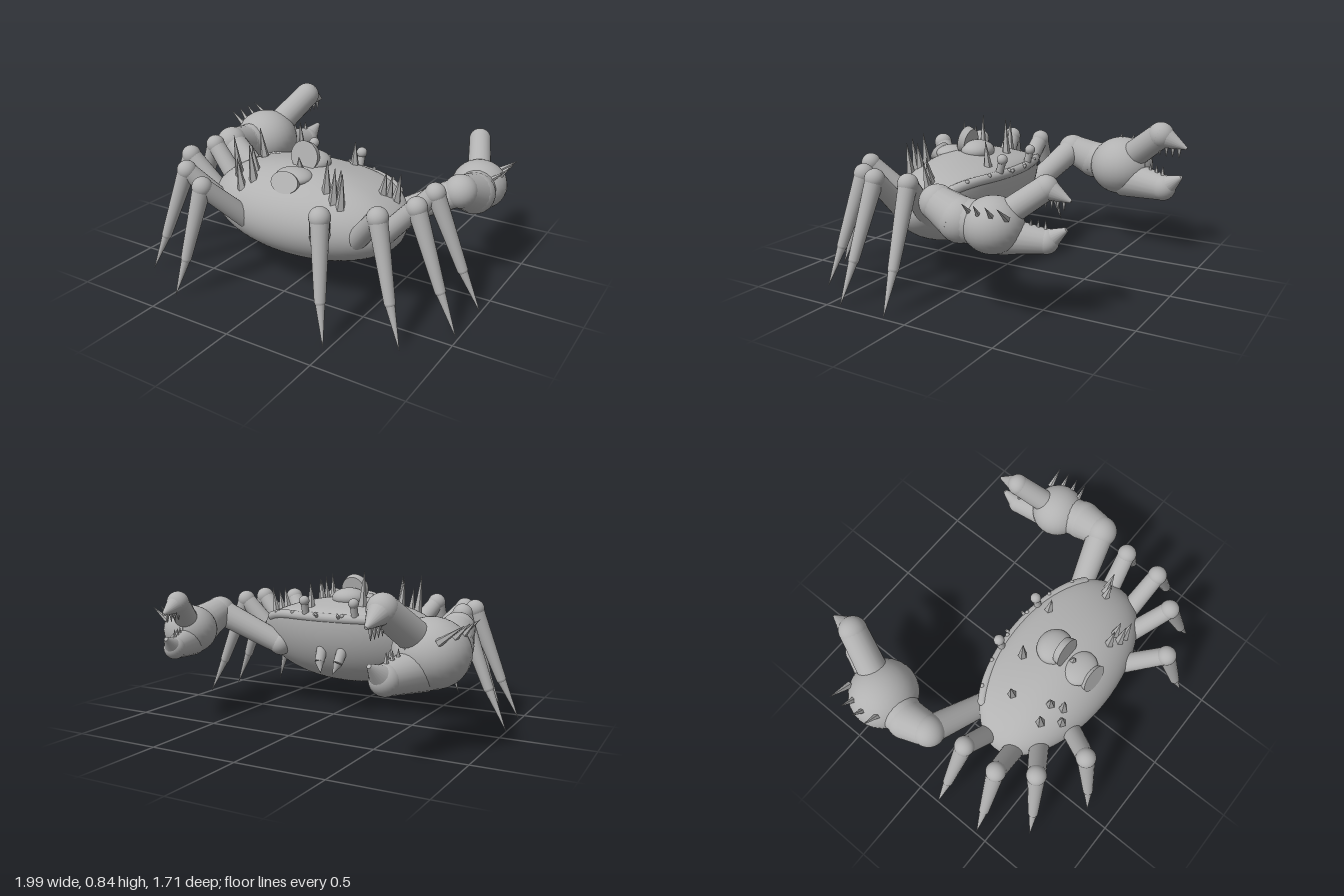
import * as THREE from 'three';
import { mergeVertices } from 'three/addons/utils/BufferGeometryUtils.js';

const shell = new THREE.MeshStandardMaterial({ color: 0xb2b2b2 });
shell.name = 'shellGrey';
const V = (x, y, z) => new THREE.Vector3(x, y, z);
const UP = V(0, 1, 0);

function add(parent, name, geometry) {
  const mesh = new THREE.Mesh(geometry, shell);
  mesh.name = name;
  parent.add(mesh);
  return mesh;
}

// Tapered segment from a to b
function bone(parent, name, a, b, ra, rb, sides = 20) {
  let g = new THREE.CylinderGeometry(rb, ra, a.distanceTo(b), sides);
  if (sides < 8) {
    g = g.toNonIndexed();
    g.computeVertexNormals();
  }
  const mesh = add(parent, name, g);
  mesh.position.copy(a).lerp(b, 0.5);
  mesh.quaternion.setFromUnitVectors(UP, b.clone().sub(a).normalize());
  return mesh;
}

function ball(parent, name, p, rx, ry = rx, rz = rx) {
  const mesh = add(parent, name, new THREE.SphereGeometry(1, 28, 18));
  mesh.position.copy(p);
  mesh.scale.set(rx, ry, rz);
  return mesh;
}

const spike = (parent, name, a, b, r) => bone(parent, name, a, b, r, 0.001, 5);

const group = (parent, name) => {
  const g = new THREE.Group();
  g.name = name;
  parent.add(g);
  return g;
};

// Height of the widest line: it rises towards the claw end
const equator = (dz) => 0.43 + 0.15 * THREE.MathUtils.smoothstep(-dz, -0.1, 0.9);
const topY = (x, z) => {
  const dx = x / 0.6, dz = (z - 0.255) / 0.325, e = equator(dz);
  return e + (0.69 - e) * Math.sqrt(Math.max(0, 1 - dx * dx - dz * dz));
};

function buildBody(root) {
  let g = new THREE.SphereGeometry(1, 64, 40);
  g.deleteAttribute('uv');
  g.deleteAttribute('normal');
  g = mergeVertices(g);
  const p = g.attributes.position;
  for (let i = 0; i < p.count; i++) {
    const x = p.getX(i), y = p.getY(i), z = p.getZ(i), e = equator(z);
    p.setXYZ(i, x * 0.6, e + y * (y > 0 ? 0.69 - e : e - 0.18), 0.255 + z * 0.325);
  }
  g.computeVertexNormals();
  add(root, 'body', g);

  // Raised lip along the claw end, with small knobs
  const pts = [];
  for (let i = 0; i <= 24; i++) {
    const a = THREE.MathUtils.lerp(-0.9, 0.9, i / 24);
    const dz = -Math.cos(a);
    pts.push(V(0.585 * Math.sin(a), equator(dz) + 0.015, 0.255 + 0.305 * dz));
  }
  add(root, 'rim', new THREE.TubeGeometry(new THREE.CatmullRomCurve3(pts), 60, 0.028, 12));
  ball(root, 'rimEnd', pts[0], 0.028);
  ball(root, 'rimEnd', pts[24], 0.028);
  for (let i = 2; i < 24; i += 4) ball(root, 'rimKnob', pts[i].clone().add(V(0, 0.02, -0.015)), 0.012);
}

function buildBackDetails(root) {
  // Two humps, each with a flared disc
  ball(root, 'hump', V(0, 0.69, 0.2), 0.105, 0.06, 0.095);
  bone(root, 'humpDisc', V(0, 0.735, 0.245), V(0, 0.742, 0.285), 0.075, 0.085, 28);
  ball(root, 'hump', V(0, 0.66, 0.38), 0.105, 0.045, 0.09);
  bone(root, 'humpDisc', V(0, 0.635, 0.43), V(0, 0.655, 0.475), 0.07, 0.085, 28).scale.z = 0.7;

  // Spikes: x, z, length
  const spikes = [
    [-0.34, 0.18, 0.17], [-0.36, 0.39, 0.22], [-0.255, 0.375, 0.14], [-0.225, 0.44, 0.19],
    [-0.28, 0.475, 0.16], [0.22, 0.41, 0.17], [0.28, 0.44, 0.18], [0.325, 0.445, 0.18],
    [0.29, 0.4, 0.14], [0.445, 0.22, 0.12], [0.51, 0.19, 0.15], [0.47, 0.2, 0.11],
    [-0.14, 0.09, 0.2], [0.165, 0.03, 0.14], [0, 0.325, 0.07]
  ];
  for (const [x, z, h] of spikes) {
    const y = topY(x, z);
    spike(root, 'backSpike', V(x, y - 0.02, z), V(x * 1.06, y + h, z + 0.01), 0.028);
  }
}

function buildLegs(root, s) {
  // Each leg: hip, knee, tip
  const legs = [
    [[0.48, 0.38, 0.2], [0.72, 0.645, 0.165], [0.995, 0.02, 0.135]],
    [[0.48, 0.38, 0.34], [0.72, 0.645, 0.38], [0.985, 0.02, 0.425]],
    [[0.37, 0.36, 0.4], [0.6, 0.63, 0.555], [0.8, 0.02, 0.675]],
    [[0.21, 0.36, 0.46], [0.365, 0.63, 0.7], [0.475, 0.02, 0.85]]
  ];
  for (const parts of legs) {
    const [hip, knee, tip] = parts.map(([x, y, z]) => V(s * x, y, z));
    const leg = group(root, s > 0 ? 'leftLeg' : 'rightLeg');
    const ankle = knee.clone().lerp(tip, 0.64).add(V(-s * 0.01, 0, 0));
    ball(leg, 'hip', hip, 0.058);
    bone(leg, 'thigh', hip, knee, 0.058, 0.05);
    ball(leg, 'knee', knee, 0.055);
    bone(leg, 'shin', knee, ankle, 0.05, 0.029);
    ball(leg, 'ankle', ankle, 0.029);
    bone(leg, 'foot', ankle, tip, 0.026, 0.001, 12);
  }
}

function buildClaw(root, s, size, palm) {
  const claw = group(root, s > 0 ? 'leftClaw' : 'rightClaw');
  // Point relative to the palm, measured outwards from the body
  const P = (x, y, z) => V(palm.x + s * x * size, palm.y + y * size, palm.z + z * size);
  const shoulder = V(s * 0.4, 0.4, 0.06);
  const elbow = V(s * 0.77, 0.59, -0.05);
  const wrist = V(s * 0.79, 0.53, -0.2);
  ball(claw, 'shoulder', shoulder, 0.07);
  bone(claw, 'upperArm', shoulder, elbow, 0.065, 0.08);
  ball(claw, 'elbow', elbow, 0.092);
  bone(claw, 'forearm', elbow, wrist, 0.09, 0.115);
  ball(claw, 'wrist', wrist, 0.115);
  bone(claw, 'palmNeck', wrist, palm, 0.11, 0.14 * size);
  ball(claw, 'palm', palm, 0.2 * size, 0.18 * size, 0.195 * size);

  // Hinged finger with a hooked end
  const base = P(-0.03, 0.06, -0.06), bend = P(-0.13, 0.24, -0.29), tip = P(-0.135, 0.175, -0.455);
  bone(claw, 'upperFinger', base, bend, 0.085 * size, 0.078 * size);
  ball(claw, 'upperKnuckle', bend, 0.079 * size);
  bone(claw, 'upperHook', bend, tip, 0.079 * size, 0.008);

  // Fixed lower finger
  const lowBase = P(-0.03, -0.07, -0.04), lowBend = P(-0.105, -0.085, -0.31), lowTip = P(-0.13, 0, -0.43);
  bone(claw, 'lowerFinger', lowBase, lowBend, 0.12 * size, 0.078 * size);
  ball(claw, 'lowerKnuckle', lowBend, 0.079 * size);
  bone(claw, 'lowerHook', lowBend, lowTip, 0.078 * size, 0.012);

  // Teeth on both fingers
  for (let i = 0; i < 4; i++) {
    const t = 0.5 + i * 0.16;
    const low = lowBase.clone().lerp(lowBend, t).add(V(0, 0.07 * size, 0));
    spike(claw, 'lowerTooth', low, low.clone().add(V(0, 0.06 * size, 0)), 0.016 * size);
    const high = bend.clone().lerp(tip, i * 0.24).add(V(0, (-0.06 + i * 0.014) * size, 0));
    spike(claw, 'upperTooth', high, high.clone().add(V(0, -0.065 * size, 0)), 0.016 * size);
  }

  // Row of spikes on the outer side
  for (let i = 0; i < 4; i++) {
    const z = 0.09 - i * 0.08, inset = 0.035 * Math.abs(i - 1.3);
    spike(claw, 'palmSpike', P(0.15 - inset, 0.08, z), P(0.215, 0.17, z - 0.005), 0.022 * size);
  }
}

export function createModel() {
  const root = new THREE.Group();
  root.name = 'crab';
  buildBody(root);
  buildBackDetails(root);
  for (const s of [-1, 1]) {
    buildLegs(root, s);
    // Eye stalks, feelers and mouth fangs
    bone(root, 'eyeStalk', V(s * 0.16, 0.57, -0.03), V(s * 0.16, 0.68, -0.06), 0.02, 0.022, 14);
    ball(root, 'eye', V(s * 0.16, 0.69, -0.06), 0.03);
    bone(root, 'feeler', V(s * 0.07, 0.58, -0.04), V(s * 0.07, 0.62, -0.085), 0.014, 0.008, 10);
    bone(root, 'mouthFang', V(s * 0.07, 0.45, 0.01), V(s * 0.06, 0.34, -0.06), 0.035, 0.028, 14);
    bone(root, 'mouthFangTip', V(s * 0.06, 0.34, -0.06), V(s * 0.04, 0.28, -0.085), 0.028, 0.002, 14);
  }
  buildClaw(root, -1, 1, V(-0.76, 0.52, -0.4));
  buildClaw(root, 1, 0.78, V(0.755, 0.52, -0.36));
  return root;
}
